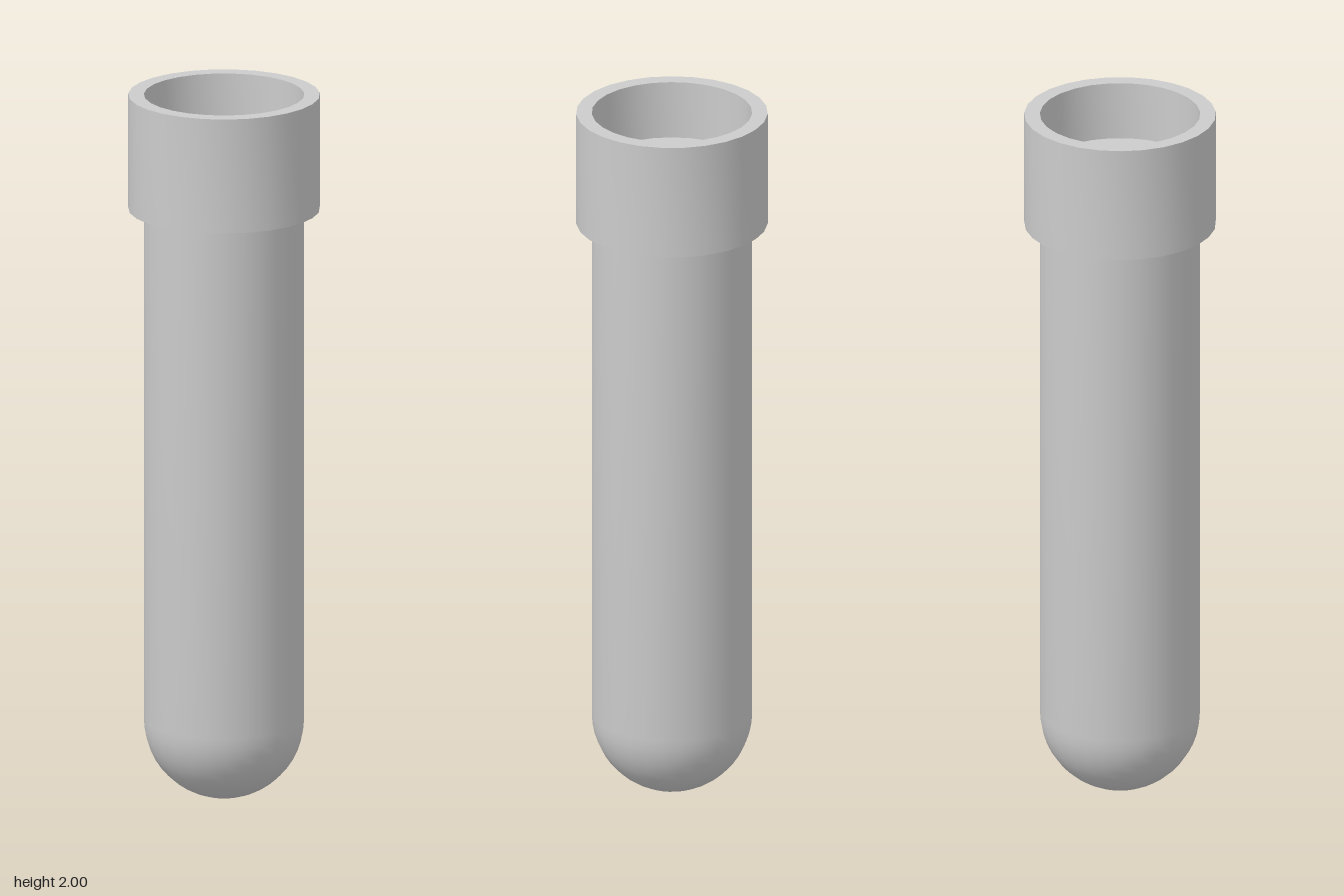
import * as THREE from 'three';
import { toCreasedNormals } from 'three/addons/utils/BufferGeometryUtils.js';

const SIDES = 27;
const TUBE_R = 0.221;
const COLLAR_R = 0.264;
const material = new THREE.MeshStandardMaterial({ color: 0xcccccc });

// Revolve a profile of [radius, y] pairs, keeping its corners sharp
function turned(name, profile) {
  const points = profile.map(([r, y]) => new THREE.Vector2(r, y));
  const geometry = new THREE.LatheGeometry(points, SIDES, Math.PI / 2);
  const mesh = new THREE.Mesh(toCreasedNormals(geometry, 0.5), material);
  mesh.name = name;
  return mesh;
}

export function createModel() {
  const group = new THREE.Group();
  group.name = 'testTube';

  // Tube: hemispherical bottom, straight wall, flat top inside the collar
  const tube = [];
  const steps = 12;
  for (let i = 0; i <= steps; i++) {
    const a = (i / steps) * Math.PI / 2;
    tube.push([TUBE_R * Math.sin(a), TUBE_R * (1 - Math.cos(a))]);
  }
  tube.push([TUBE_R, 1.836], [0, 1.836]);
  group.add(turned('tubeBody', tube));

  // Collar: wider ring standing above the tube's top
  group.add(turned('collar', [
    [TUBE_R, 1.675], [COLLAR_R, 1.675], [COLLAR_R, 2], [TUBE_R, 2], [TUBE_R, 1.675],
  ]));

  return group;
}
